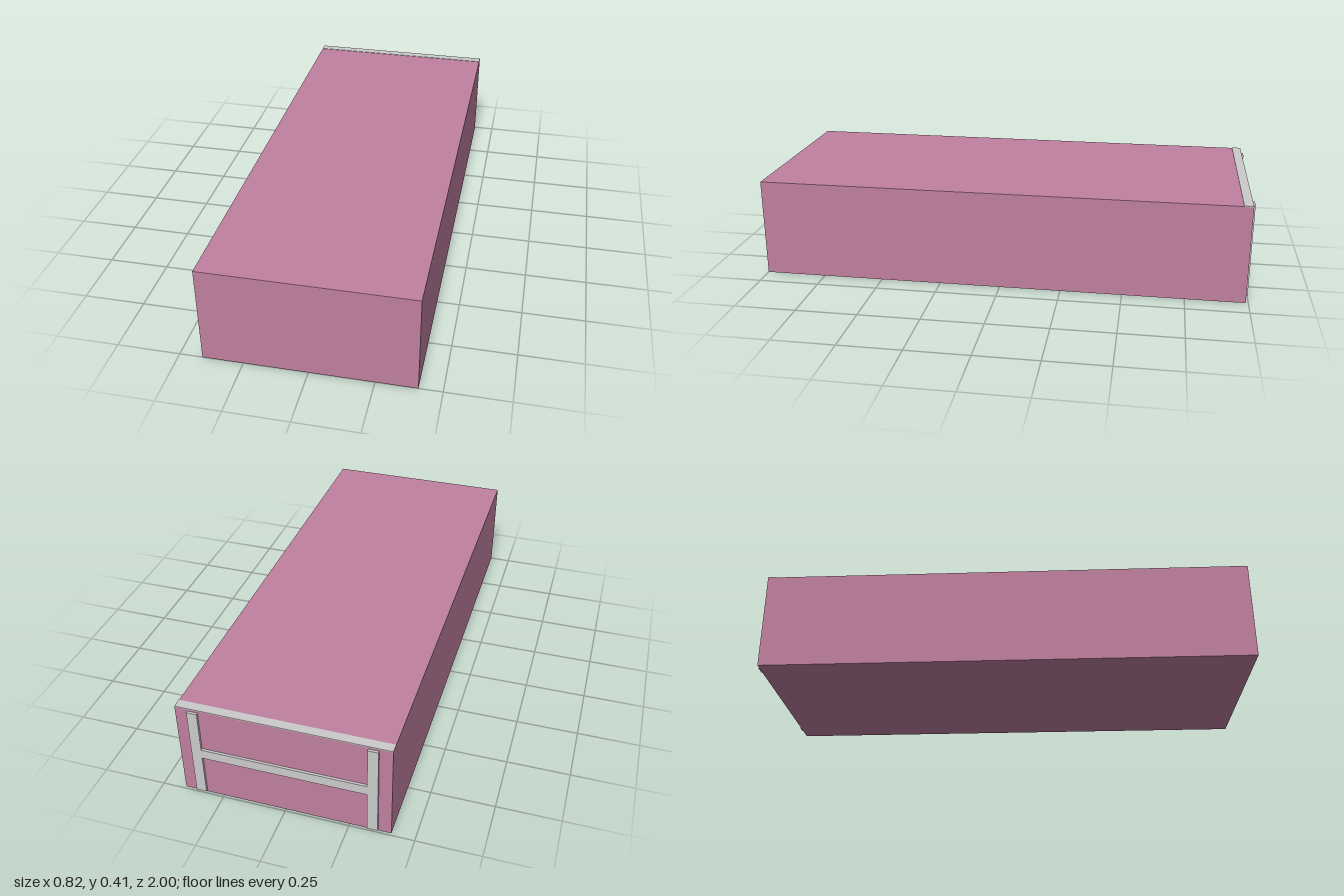
import * as THREE from 'three';

export function createModel() {
  const model = new THREE.Group();
  const pink = new THREE.MeshStandardMaterial({ color: 0xc080a0 });
  const grey = new THREE.MeshStandardMaterial({ color: 0xcccccc });

  // Box given by its minimum and maximum corners
  const box = (name, material, [x0, y0, z0], [x1, y1, z1], parent = model) => {
    const mesh = new THREE.Mesh(new THREE.BoxGeometry(x1 - x0, y1 - y0, z1 - z0), material);
    mesh.position.set((x0 + x1) / 2, (y0 + y1) / 2, (z0 + z1) / 2);
    mesh.name = name;
    parent.add(mesh);
  };

  // Main block
  box('body', pink, [-0.41, 0, -0.99], [0.41, 0.404, 1]);

  // Thin strip along the rear top edge
  box('topStrip', grey, [-0.41, 0.402, -0.99], [0.41, 0.406, -0.953]);

  // H-shaped frame raised from the back face
  const frame = new THREE.Group();
  frame.name = 'backFrame';
  model.add(frame);
  for (const [side, x] of [['left', 0.34], ['right', -0.34]]) {
    box(side + 'Upright', grey, [x - 0.02, 0.008, -1], [x + 0.02, 0.395, -0.989], frame);
  }
  box('crossbar', grey, [-0.32, 0.182, -1], [0.32, 0.222, -0.989], frame);

  return model;
}
